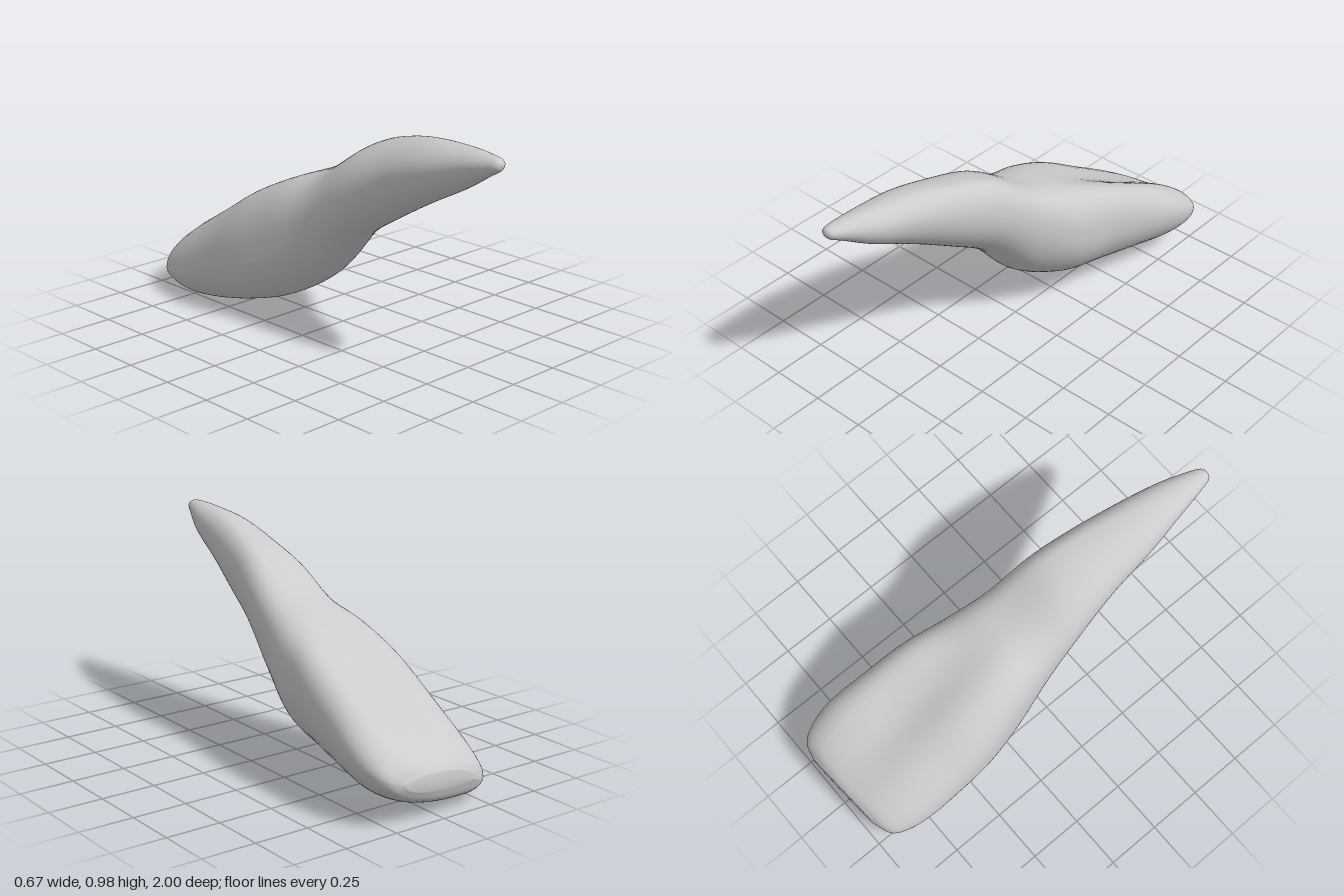
import * as THREE from 'three';

// Cross-sections from root tip to biting edge. Each gives the four extreme points:
// z, left x, left y, top x, top y, right x, right y, bottom x, bottom y, dish depth
const SECTIONS = [
  [1, -0.11, 0.945, -0.11, 0.945, -0.11, 0.945, -0.11, 0.945, 0],
  [0.985, -0.138, 0.942, -0.11, 0.967, -0.08, 0.945, -0.11, 0.918, 0],
  [0.93, -0.152, 0.93, -0.1, 0.975, -0.052, 0.935, -0.11, 0.885, 0],
  [0.8, -0.172, 0.9, -0.075, 0.977, 0.002, 0.9, -0.1, 0.805, 0],
  [0.6, -0.2, 0.84, -0.04, 0.967, 0.055, 0.86, -0.09, 0.7, 0],
  [0.4, -0.212, 0.76, 0.01, 0.932, 0.105, 0.79, -0.075, 0.585, 0],
  [0.2, -0.235, 0.64, 0.04, 0.868, 0.147, 0.7, -0.065, 0.455, 0],
  [0, -0.257, 0.48, 0.04, 0.738, 0.182, 0.55, -0.07, 0.235, 0],
  [-0.2, -0.298, 0.33, 0, 0.668, 0.24, 0.42, -0.12, 0.11, 0.015],
  [-0.4, -0.332, 0.25, 0.09, 0.605, 0.283, 0.4, -0.17, 0.05, 0.055],
  [-0.6, -0.336, 0.19, 0.16, 0.508, 0.312, 0.34, -0.2, 0.015, 0.065],
  [-0.78, -0.328, 0.13, 0.19, 0.41, 0.332, 0.28, -0.2, 0, 0.055],
  [-0.9, -0.305, 0.1, 0.19, 0.325, 0.315, 0.23, -0.2, 0.022, 0.035],
  [-0.97, -0.265, 0.095, 0.16, 0.26, 0.275, 0.205, -0.18, 0.055, 0.02],
  [-1, -0.18, 0.12, 0.08, 0.2, 0.2, 0.185, -0.1, 0.12, 0],
];
const AROUND = 64;
const STEPS = 6;

// Point on a section made of four quarter arcs, left > top > right > bottom
function sectionPoint(s, t) {
  const [z, lx, ly, tx, ty, rx, ry, bx, by, dish] = s;
  const angle = Math.PI - t * Math.PI * 2;
  const c = Math.cos(angle), n = Math.sin(angle);
  // The upper arcs turn squarer around the neck of the tooth
  const power = n > 0 ? 2 / (2 + 0.7 * Math.exp(-(((z + 0.2) / 0.35) ** 2))) : 1;
  const midX = n >= 0 ? tx : bx;
  const midY = c < 0 ? ly : ry;
  const x = midX + Math.abs(c) ** power * ((c < 0 ? lx : rx) - midX);
  let y = midY + Math.abs(n) ** power * ((n >= 0 ? ty : by) - midY);
  // Hollow in the upper face of the crown
  if (n > 0) y -= dish * n * Math.exp(-(((x - 0.02) / 0.14) ** 2));
  // The biting edge runs slightly aslant
  const skew = 0.07 * THREE.MathUtils.smoothstep(-z, 0.4, 1);
  return [x, y, z - skew * (x - 0.2)];
}

function toothGeometry() {
  const count = SECTIONS.length;
  const stride = SECTIONS[0].length;
  const spline = new THREE.CubicInterpolant(
    SECTIONS.map((_, i) => i), SECTIONS.flat(), stride, new Array(stride));
  const rings = (count - 1) * STEPS;
  const positions = [], index = [];
  for (let i = 0; i <= rings; i++) {
    const s = Array.from(spline.evaluate(Math.min(i / STEPS, count - 1)));
    for (let j = 0; j < AROUND; j++) positions.push(...sectionPoint(s, j / AROUND));
  }
  for (let i = 0; i < rings; i++) {
    for (let j = 0; j < AROUND; j++) {
      const k = (j + 1) % AROUND;
      const a = i * AROUND + j, b = i * AROUND + k;
      const c = a + AROUND, d = b + AROUND;
      if (i > 0) index.push(a, b, c);
      index.push(b, d, c);
    }
  }
  // Close the biting edge
  const centre = positions.length / 3;
  positions.push(0.02, 0.158, -0.99);
  for (let j = 0; j < AROUND; j++) {
    index.push(rings * AROUND + j, rings * AROUND + ((j + 1) % AROUND), centre);
  }
  const geometry = new THREE.BufferGeometry();
  geometry.setAttribute('position', new THREE.Float32BufferAttribute(positions, 3));
  geometry.setIndex(index);
  geometry.computeVertexNormals();
  return geometry;
}

export function createModel() {
  const group = new THREE.Group();
  group.name = 'incisorTooth';
  const tooth = new THREE.Mesh(
    toothGeometry(), new THREE.MeshStandardMaterial({ color: 0xcccccc }));
  tooth.name = 'crownAndRoot';
  group.add(tooth);
  return group;
}
